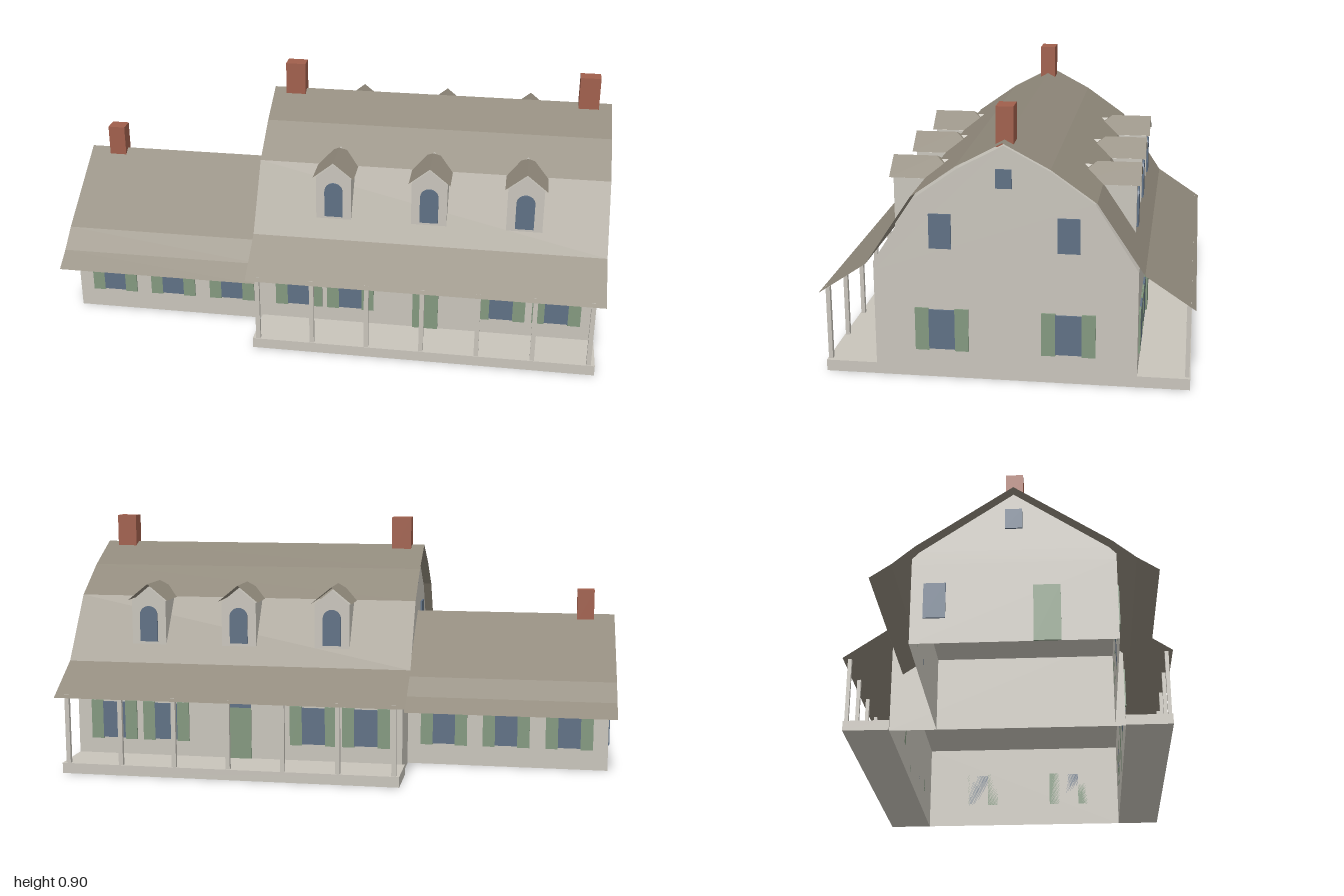
import * as THREE from 'three';

const mat = (name, color, side = THREE.FrontSide) => {
  const m = new THREE.MeshStandardMaterial({ color, side });
  m.name = name;
  return m;
};

export function createModel() {
  const wall = mat('wall', 0xc8c4bb, THREE.DoubleSide);
  const shingle = mat('shingle', 0x8f887a, THREE.DoubleSide);
  const glass = mat('glass', 0x5f7084);
  const green = mat('shutterGreen', 0x83987f);
  const brick = mat('brick', 0xa05f4c);

  const house = new THREE.Group();
  house.name = 'house';

  const add = (parent, name, geometry, material, x = 0, y = 0, z = 0) => {
    const mesh = new THREE.Mesh(geometry, material);
    mesh.name = name;
    mesh.position.set(x, y, z);
    parent.add(mesh);
    return mesh;
  };
  const box = (parent, name, material, x0, x1, y0, y1, z0, z1) =>
    add(parent, name, new THREE.BoxGeometry(x1 - x0, y1 - y0, z1 - z0), material,
      (x0 + x1) / 2, (y0 + y1) / 2, (z0 + z1) / 2);
  const frame = (parent, name, x, z, turn) => {
    const g = new THREE.Group();
    g.name = name;
    g.position.set(x, 0, z);
    g.rotation.y = turn;
    parent.add(g);
    return g;
  };
  // Half profile of [offset, height], ridge first, mirrored to run from back to front
  const mirrored = half => [...half.slice(1).reverse().map(([z, y]) => [-z, y]), ...half];

  // Thin folded sheet along x
  const roofSheet = (profile, x0, x1) => {
    const p = [];
    for (let i = 0; i < profile.length - 1; i++) {
      const [za, ya] = profile[i], [zb, yb] = profile[i + 1];
      p.push(x0, ya, za, x0, yb, zb, x1, yb, zb, x0, ya, za, x1, yb, zb, x1, ya, za);
    }
    const g = new THREE.BufferGeometry();
    g.setAttribute('position', new THREE.Float32BufferAttribute(p, 3));
    g.computeVertexNormals();
    return g;
  };

  // Four walls open below, topped by a closed attic with gables
  const body = (name, x0, x1, zc, half, ceiling, attic) => {
    const g = frame(house, name, 0, zc, 0);
    const ring = new THREE.CylinderGeometry(Math.SQRT1_2, Math.SQRT1_2, 1, 4, 1, true)
      .rotateY(Math.PI / 4).scale(x1 - x0, ceiling, half * 2).toNonIndexed();
    ring.computeVertexNormals();
    add(g, name + 'LowerWalls', ring, wall, (x0 + x1) / 2, ceiling / 2, 0);
    const pts = [[-half, ceiling], ...mirrored(attic), [half, ceiling]];
    const shape = new THREE.Shape(pts.map(([z, y]) => new THREE.Vector2(z, y)));
    const geo = new THREE.ExtrudeGeometry(shape, { depth: x1 - x0, bevelEnabled: false })
      .rotateY(-Math.PI / 2);
    add(g, name + 'Attic', geo, wall, x1, 0, 0);
  };

  // Thin plates laid on a wall whose outside is local +z
  const plate = (parent, name, material, x, w, y0, y1) =>
    box(parent, name, material, x - w / 2, x + w / 2, y0, y1, 0, 0.006);
  const shutteredWindow = (parent, x, w, y0, y1) => {
    plate(parent, 'windowGlass', glass, x, w, y0, y1);
    for (const s of [-1, 1])
      plate(parent, 'shutter', green, x + s * (w / 2 + 0.0225), 0.045, y0 - 0.005, y1 + 0.005);
  };

  // Main block and wing
  body('mainBlock', -0.24, 0.98, 0, 0.427, 0.36,
    [[0, 0.787], [0.147, 0.709], [0.288, 0.608], [0.427, 0.39]]);
  add(house, 'mainRoof', roofSheet(mirrored(
    [[0, 0.8], [0.15, 0.72], [0.295, 0.617], [0.447, 0.388], [0.608, 0.28]]), -0.27, 1), shingle);

  const wingZ = 0.067;
  body('wing', -0.975, -0.24, wingZ, 0.322, 0.275,
    [[0, 0.522], [0.3, 0.318], [0.322, 0.295]]);
  add(house, 'wingRoof', roofSheet(mirrored(
    [[0, 0.535], [0.31, 0.327], [0.383, 0.266], [0.452, 0.22]]), -1, -0.24), shingle, 0, 0, wingZ);

  // Chimneys
  for (const x of [-0.185, 0.915])
    box(house, 'mainChimney', brick, x - 0.037, x + 0.037, 0.775, 0.905, -0.028, 0.028);
  box(house, 'wingChimney', brick, -0.922, -0.858, 0.51, 0.63, wingZ - 0.028, wingZ + 0.028);

  // Dormer with an arched window and a roof hipped at the back
  const dormer = (parent, x) => {
    const g = frame(parent, 'dormer', x, 0, 0);
    const front = new THREE.Shape([[-0.064, 0.435], [0.064, 0.435], [0.064, 0.612],
      [0, 0.664], [-0.064, 0.612]].map(([a, b]) => new THREE.Vector2(a, b)));
    add(g, 'dormerWalls', new THREE.ExtrudeGeometry(front, { depth: 0.175, bevelEnabled: false }),
      wall, 0, 0, 0.23);
    const arch = new THREE.Shape();
    arch.moveTo(-0.033, 0.462);
    arch.lineTo(0.033, 0.462);
    arch.lineTo(0.033, 0.56);
    arch.absarc(0, 0.56, 0.033, 0, Math.PI, false);
    arch.lineTo(-0.033, 0.462);
    add(g, 'dormerGlass', new THREE.ExtrudeGeometry(arch,
      { depth: 0.006, bevelEnabled: false, curveSegments: 8 }), glass, 0, 0, 0.405);
    const w = 0.074, e = 0.615, r = 0.675, f = 0.418, b = 0.185, h = 0.27;
    const sheet = new THREE.BufferGeometry();
    sheet.setAttribute('position', new THREE.Float32BufferAttribute([
      w, e, f, w, e, b, 0, r, h, w, e, f, 0, r, h, 0, r, f,
      -w, e, b, -w, e, f, 0, r, f, -w, e, b, 0, r, f, 0, r, h,
      w, e, b, -w, e, b, 0, r, h], 3));
    sheet.computeVertexNormals();
    add(g, 'dormerRoof', sheet, shingle);
  };

  // Front and back are alike: porch, windows, door and dormers
  for (const s of [1, -1]) {
    const label = s > 0 ? 'front' : 'back';
    const turn = s > 0 ? 0 : Math.PI;
    const side = frame(house, label + 'Side', 0, 0, turn);
    const deckX = [-0.25 * s, 0.98 * s].sort((a, b) => a - b);
    box(side, 'porchDeck', wall, deckX[0], deckX[1], 0, 0.038, 0.427, 0.597);
    for (let i = 0; i < 7; i++) {
      const x = s * (-0.23 + i * 0.198);
      box(side, 'porchPost', wall, x - 0.008, x + 0.008, 0.038, 0.29, 0.58, 0.594);
    }
    for (const x of [0.02, 0.365, 0.705]) dormer(side, s * x);

    const face = frame(side, label + 'MainWall', 0, 0.427, 0);
    for (const x of [-0.108, 0.085, 0.64, 0.84]) shutteredWindow(face, s * x, 0.085, 0.1, 0.235);
    plate(face, 'door', green, s * 0.364, 0.094, 0.038, 0.228);
    plate(face, 'transom', glass, s * 0.364, 0.094, 0.228, 0.264);

    const wingFace = frame(house, label + 'WingWall', 0, wingZ + s * 0.322, turn);
    for (const x of [-0.835, -0.605, -0.375]) shutteredWindow(wingFace, s * x, 0.082, 0.08, 0.205);
  }

  // Gable ends of the main block
  for (const s of [1, -1]) {
    const gable = frame(house, s > 0 ? 'leftGable' : 'rightGable', s > 0 ? 0.98 : -0.24, 0, s * Math.PI / 2);
    for (const z of [-0.206, 0.206]) {
      if (s > 0) shutteredWindow(gable, z, 0.085, 0.1, 0.235);
      plate(gable, 'upperWindow', glass, z, 0.072, 0.444, 0.559);
    }
    plate(gable, 'atticWindow', glass, 0, 0.052, 0.65, 0.712);
  }

  // Gable end of the wing
  const wingEnd = frame(house, 'wingGable', -0.975, 0, -Math.PI / 2);
  plate(wingEnd, 'wingWindow', glass, -0.18, 0.07, 0.085, 0.205);
  plate(wingEnd, 'wingDoor', green, 0.17, 0.085, 0, 0.19);
  plate(wingEnd, 'wingAtticWindow', glass, wingZ, 0.055, 0.395, 0.465);

  return house;
}
